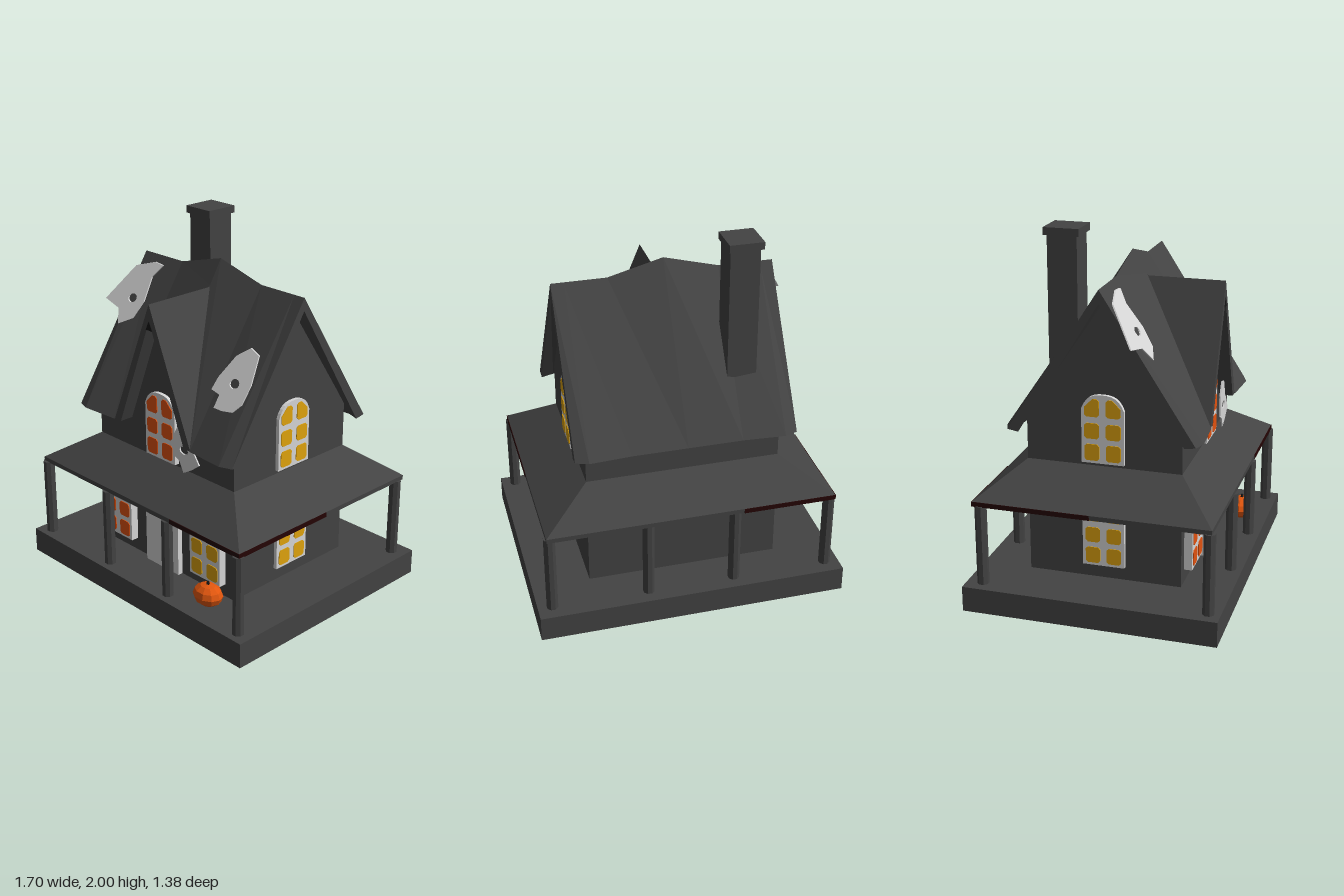
import * as THREE from 'three';

const mat = (name, color, side = THREE.FrontSide) => {
  const m = new THREE.MeshStandardMaterial({ color, side, flatShading: true });
  m.name = name;
  return m;
};

export function createModel() {
  const house = new THREE.Group();
  house.name = 'hauntedHouse';
  const stone = mat('charcoal', 0x434343);
  const pale = mat('paleGrey', 0xd6d6d6, THREE.DoubleSide);
  const orange = mat('orangeGlow', 0xe2520f);
  const yellow = mat('yellowGlow', 0xdfa30e);
  const red = mat('darkRed', 0x240404, THREE.DoubleSide);
  const pumpkinSkin = mat('pumpkinOrange', 0xe0560e);
  const black = mat('nearBlack', 0x161616);

  const add = (name, geo, m, x = 0, y = 0, z = 0, parent = house) => {
    const mesh = new THREE.Mesh(geo, m);
    mesh.name = name;
    mesh.position.set(x, y, z);
    parent.add(mesh);
    return mesh;
  };
  // box given by its lower and upper corners
  const box = (name, m, x0, x1, y0, y1, z0, z1) =>
    add(name, new THREE.BoxGeometry(x1 - x0, y1 - y0, z1 - z0), m, (x0 + x1) / 2, (y0 + y1) / 2, (z0 + z1) / 2);
  const poly = (pts) => new THREE.Shape(pts.map((p) => new THREE.Vector2(p[0], p[1])));
  const extrude = (shape, depth) => new THREE.ExtrudeGeometry(shape, { depth, bevelEnabled: false, curveSegments: 6 });
  // flat-shaded surface from a list of four-cornered faces
  const quads = (list) => {
    const pos = [];
    for (const [a, b, c, d] of list) pos.push(...a, ...b, ...c, ...a, ...c, ...d);
    const g = new THREE.BufferGeometry();
    g.setAttribute('position', new THREE.Float32BufferAttribute(pos, 3));
    g.computeVertexNormals();
    return g;
  };
  // rectangular rings [halfX, halfZ, y] joined in order
  const rings = (levels) => {
    const L = levels.map(([a, c, y]) => [[-a, y, c], [a, y, c], [a, y, -c], [-a, y, -c]]);
    const faces = [];
    for (let i = 0; i + 1 < L.length; i++)
      for (let k = 0; k < 4; k++) {
        const n = (k + 1) % 4;
        faces.push([L[i][k], L[i][n], L[i + 1][n], L[i + 1][k]]);
      }
    return quads(faces);
  };

  // base and walls
  box('base', stone, -0.85, 0.85, 0, 0.14, -0.69, 0.69);
  const walls = extrude(poly([[-0.42, 0.14], [0.42, 0.14], [0.42, 1.03], [0, 1.65], [-0.42, 1.03]]), 1.06);
  walls.translate(0, 0, -0.53).rotateY(Math.PI / 2);
  add('walls', walls, stone);

  // main roof: cross-sections along x, notched at the front for the dormer
  const stations = [
    [-0.6, 1.74, 0.505], [-0.53, 1.74, 0.53], [-0.3, 1.74, 0.515], [0, 1.82, 0.515],
    [0.3, 1.74, 0.515], [0.53, 1.74, 0.53], [0.6, 1.74, 0.505],
  ].map(([x, ridge, eave]) => [
    [x, 0.95, -eave + 0.06], [x, 0.96, -eave], [x, ridge, 0],
    x === 0 ? [x, 1.69, 0.08] : [x, 0.96, eave],
    x === 0 ? [x, 1.62, 0.06] : [x, 0.95, eave - 0.06],
    [x, ridge - 0.07, 0],
  ]);
  const roofFaces = [];
  for (let i = 0; i + 1 < stations.length; i++)
    for (let k = 0; k < 6; k++) {
      const n = (k + 1) % 6;
      roofFaces.push([stations[i][k], stations[i][n], stations[i + 1][n], stations[i + 1][k]]);
    }
  for (const loop of [[0, 1, 2, 5], [2, 3, 4, 5]]) {
    roofFaces.push(loop.map((k) => stations[6][k]));
    roofFaces.push([...loop].reverse().map((k) => stations[0][k]));
  }
  add('mainRoof', quads(roofFaces), stone);

  // dormer
  const vee = poly([[-0.3, 0.96], [-0.25, 0.96], [0, 1.59], [0.25, 0.96], [0.3, 0.96], [0, 1.68]]);
  add('dormerRoof', extrude(vee, 0.45), stone, 0, 0, 0.06);
  add('dormerWall', extrude(poly([[-0.27, 0.92], [0.27, 0.92], [0, 1.62]]), 0.33), stone, 0, 0, 0.1);
  add('dormerVent', extrude(poly([[-0.025, 1.54], [0.025, 1.54], [0, 1.59]]), 0.006), black, 0, 0, 0.506);

  // chimney
  box('chimney', stone, -0.42, -0.26, 1.2, 1.96, -0.33, -0.17);
  box('chimneyCap', stone, -0.435, -0.25, 1.96, 2, -0.345, -0.155);

  // porch roof, fascia and soffit
  add('porchRoof', rings([[0.79, 0.64, 0.585], [0.79, 0.64, 0.61], [0.53, 0.42, 0.78]]), stone);
  add('porchSoffit', rings([[0.52, 0.41, 0.585], [0.79, 0.64, 0.585]]), red);
  for (const s of [1, -1]) {
    const trim = new THREE.Group();
    trim.name = 'porchTrim';
    add('frontTrim', new THREE.BoxGeometry(0.515, 0.026, 0.004), red, 0.535, 0.597, 0.641, trim);
    add('sideTrim', new THREE.BoxGeometry(0.004, 0.026, 0.64), red, 0.791, 0.597, 0.32, trim);
    if (s < 0) trim.rotation.y = Math.PI;
    house.add(trim);
  }

  // porch posts
  for (const x of [-0.77, -0.24, 0.24, 0.77])
    for (const z of [0.625, -0.6]) {
      const post = new THREE.CylinderGeometry(0.032, 0.032, 0.45, 8);
      post.rotateY(Math.PI / 8);
      add('porchPost', post, stone, x, 0.362, z);
    }

  // arched windows with six panes
  const arch = (w, h, rise) => {
    const s = new THREE.Shape();
    s.moveTo(-w, 0).lineTo(w, 0).lineTo(w, h - rise);
    s.bezierCurveTo(w * 0.8, h - rise * 0.2, w * 0.5, h, 0, h);
    s.bezierCurveTo(-w * 0.5, h, -w * 0.8, h - rise * 0.2, -w, h - rise);
    return s;
  };
  const pane = (y0, y1, top) => {
    const c = 0.012, x0 = 0.018, x1 = 0.098, t = top ? 0.045 : c;
    return poly([[x0 + c, y0], [x1 - c, y0], [x1, y0 + c], [x1, y1 - t], [x1 - t, y1], [x0 + c, y1], [x0, y1 - c], [x0, y0 + c]]);
  };
  const windowAt = (glow, x, y, z, turn, depth) => {
    const w = new THREE.Group();
    w.name = 'window';
    add('windowFrame', extrude(arch(0.115, 0.375, 0.08), depth), pale, 0, 0, 0, w);
    [[0.015, 0.105], [0.135, 0.22], [0.255, 0.352]].forEach(([y0, y1], row) => {
      for (const side of [0, 1]) {
        const g = extrude(pane(y0, y1, row === 2), 0.004);
        // the left column is the right one turned around
        if (side) g.rotateY(Math.PI).translate(0, 0, 0.004);
        add('pane', g, glow, 0, 0, depth, w);
      }
    });
    w.position.set(x, y, z);
    w.rotation.y = turn;
    house.add(w);
  };
  windowAt(orange, 0, 0.8, 0.42, 0, 0.03);
  windowAt(orange, -0.355, 0.215, 0.42, 0, 0.045);
  windowAt(yellow, 0.355, 0.215, 0.42, 0, 0.045);
  for (const s of [1, -1])
    for (const y of [0.215, 0.8]) windowAt(yellow, s * 0.53, y, 0, s * Math.PI / 2, 0.02);

  // door
  add('door', extrude(arch(0.13, 0.405, 0.09), 0.03), pale, 0, 0.14, 0.42);

  // ragged ghost sheets with a hole; place(y) gives their depth
  const ghost = (pts, hx, hy, place) => {
    const s = poly(pts);
    const hole = new THREE.Path();
    hole.absellipse(hx, hy, 0.032, 0.022, 0, Math.PI * 2, true);
    s.holes.push(hole);
    const g = extrude(s, 0.008);
    const p = g.attributes.position;
    for (let i = 0; i < p.count; i++) p.setZ(i, p.getZ(i) + place(p.getY(i)));
    g.computeVertexNormals();
    add('ghostSheet', g, pale);
  };
  const onRoof = (y) => (1.74 - y) * 0.675 + 0.022;
  ghost([[-0.72, 1.48], [-0.6, 1.67], [-0.47, 1.71], [-0.4, 1.705], [-0.445, 1.64], [-0.425, 1.52],
    [-0.455, 1.43], [-0.545, 1.385], [-0.59, 1.455]], -0.52, 1.52, onRoof);
  ghost([[0.295, 1.26], [0.305, 1.32], [0.36, 1.43], [0.43, 1.48], [0.5, 1.46], [0.53, 1.33], [0.525, 1.24],
    [0.49, 1.2], [0.42, 1.19], [0.36, 1.19], [0.36, 1.25]], 0.425, 1.315, onRoof);
  ghost([[0.13, 0.87], [0.13, 0.99], [0.17, 1.065], [0.22, 1.055], [0.25, 0.97], [0.32, 0.87],
    [0.26, 0.825], [0.2, 0.79], [0.17, 0.85]], 0.205, 0.92, () => 0.46);

  // pumpkin
  const ball = new THREE.SphereGeometry(0.09, 10, 6);
  ball.scale(1, 0.7, 0.8);
  add('pumpkin', ball, pumpkinSkin, 0.46, 0.2, 0.54);
  add('pumpkinStem', new THREE.CylinderGeometry(0.006, 0.012, 0.025, 5), black, 0.46, 0.266, 0.54);

  return house;
}
